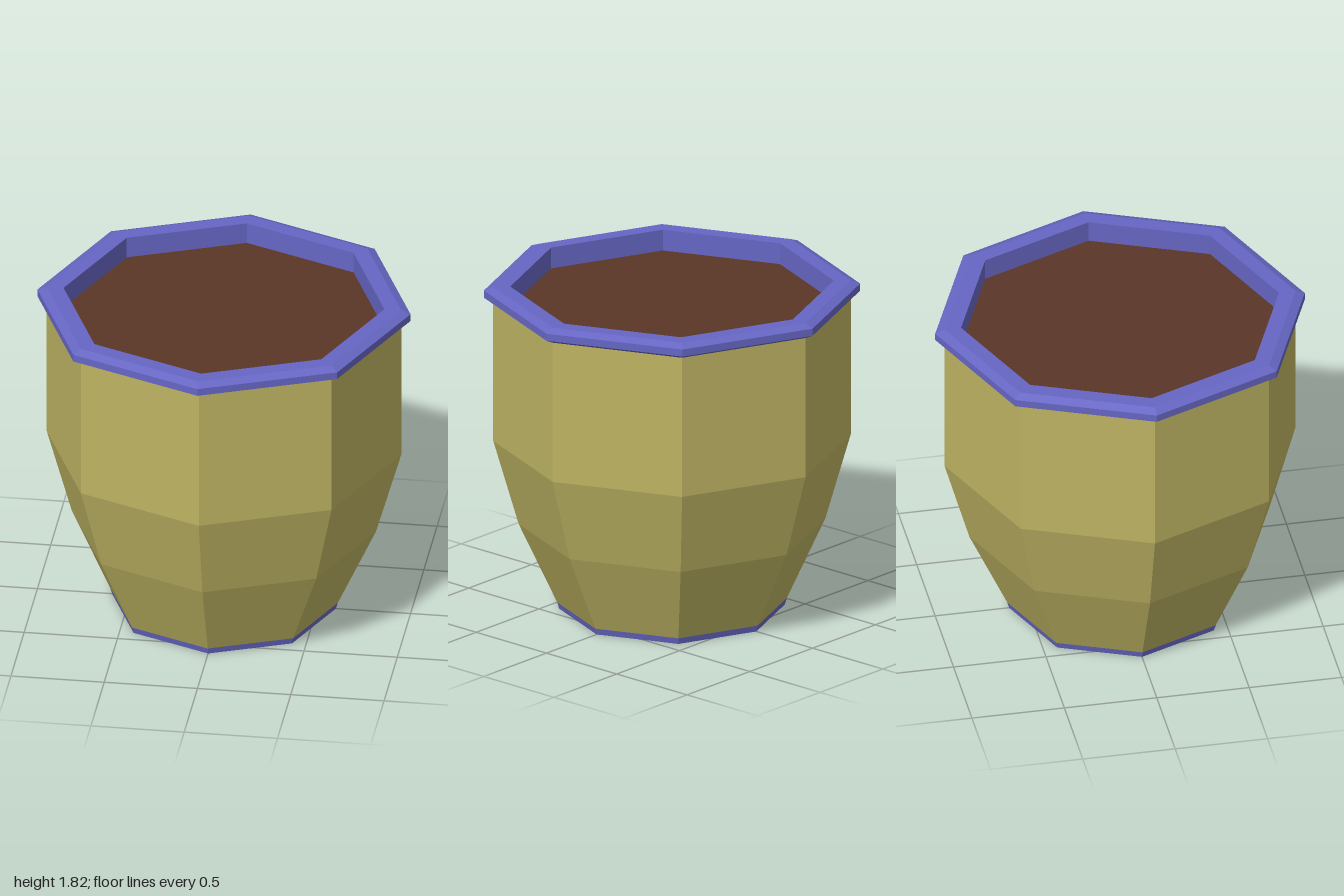
import * as THREE from 'three';

const SIDES = 8;

export function createModel() {
  const pot = new THREE.Group();
  pot.name = 'plantPot';

  const paint = (color) => new THREE.MeshStandardMaterial({ color, flatShading: true });
  const clay = paint(0xbdb362);
  const trim = paint(0x6666c4);
  const earth = paint(0x5a3628);

  // Turns a [radius, height] profile into an eight-sided part
  const turn = (name, profile, material) => {
    const points = profile.map(([r, y]) => new THREE.Vector2(r, y));
    const mesh = new THREE.Mesh(new THREE.LatheGeometry(points, SIDES), material);
    mesh.name = name;
    pot.add(mesh);
  };

  // Foot: closed underside and a thin band
  turn('foot', [[0, 0], [0.6, 0], [0.61, 0.035]], trim);

  // Wall: tapers out in two steps, then rises straight
  turn('wall', [[0.61, 0.035], [0.815, 0.48], [0.95, 0.95], [0.95, 1.74]], clay);

  // Rim: bevelled lip, flat top and inner wall down to the soil
  turn('rim', [
    [0.94, 1.735], [0.955, 1.735], [1, 1.757], [1, 1.797],
    [0.95, 1.817], [0.86, 1.817], [0.86, 1.7],
  ], trim);

  // Soil: flat surface inside the rim
  turn('soil', [[0.86, 1.7], [0, 1.7]], earth);

  return pot;
}
